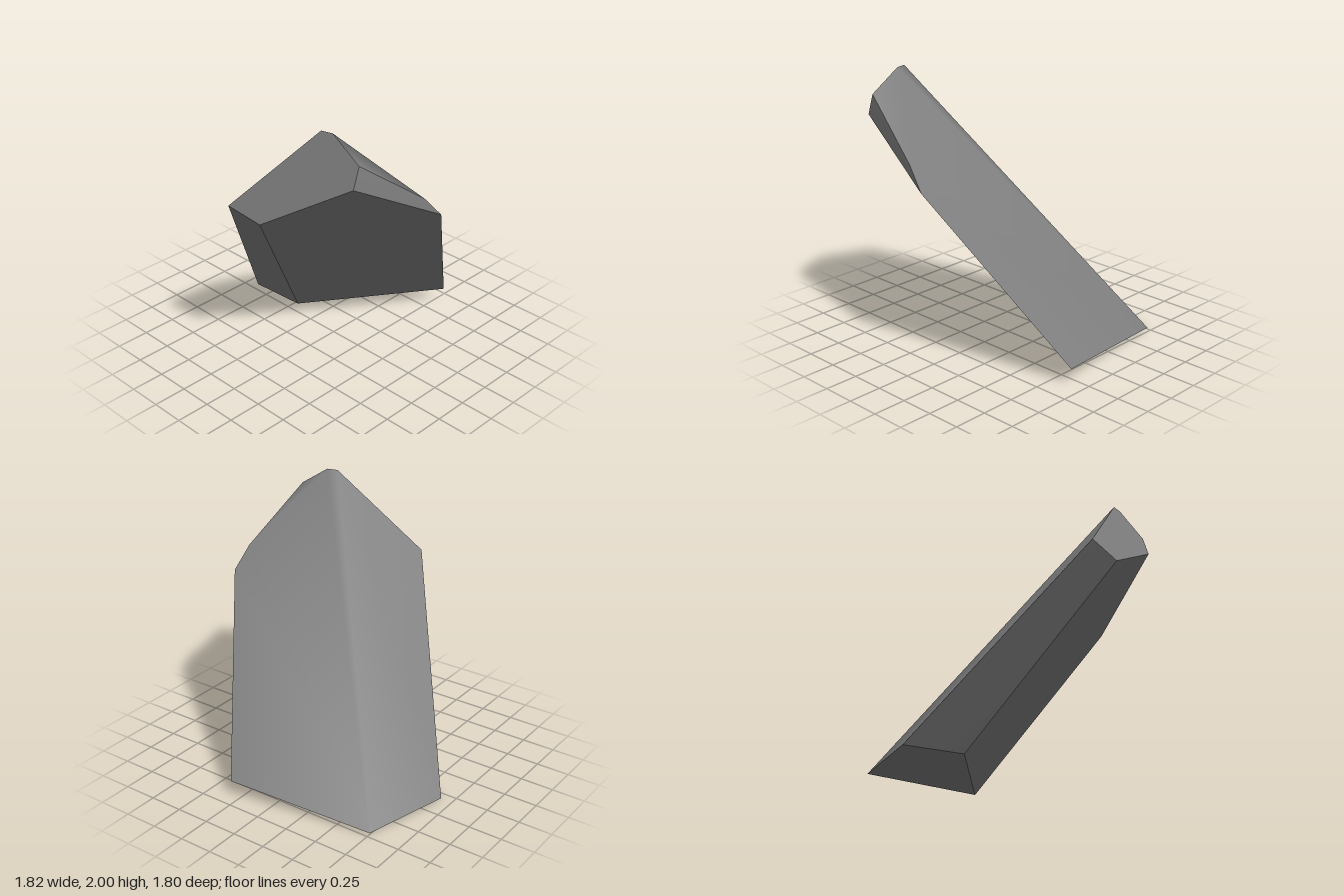
import * as THREE from 'three';

// Corners of the leaning crystal shard
const P = {
  // base
  a: [-0.91, 0, -0.06], b: [-0.43, 0.04, -0.04], c: [0.32, 0.12, -0.9], d: [-0.75, 0.01, -0.72],
  // shoulder
  e: [-0.09, 1.39, 0.9], f: [0.17, 1.33, 0.86], g: [0.76, 1.7, 0.6], h: [0.91, 1.32, -0.09],
  // tip
  i: [0.76, 1.85, 0.55], j: [0.45, 2, 0.57], k: [0.53, 2, 0.55], l: [0.88, 1.48, 0.05],
};

// Builds a surface from outlines of flat facets; corners shared inside one surface are shaded smoothly
function facets(name, outlines, material) {
  const keys = [...new Set(outlines.join(''))];
  const index = [];
  for (const o of outlines) {
    for (let n = 1; n < o.length - 1; n++) {
      index.push(keys.indexOf(o[0]), keys.indexOf(o[n]), keys.indexOf(o[n + 1]));
    }
  }
  const geometry = new THREE.BufferGeometry();
  geometry.setAttribute('position', new THREE.Float32BufferAttribute(keys.flatMap((k) => P[k]), 3));
  geometry.setIndex(index);
  geometry.computeVertexNormals();
  const mesh = new THREE.Mesh(geometry, material);
  mesh.name = name;
  return mesh;
}

export function createModel() {
  const stone = new THREE.MeshStandardMaterial({ color: 0x808080 });
  stone.name = 'grey stone';

  const crystal = new THREE.Group();
  crystal.name = 'crystalShard';
  crystal.add(
    // softly shaded back: two long sides and a small chamfer by the tip
    facets('back', ['aejd', 'djklhc', 'lki'], stone),
    // sharp flat facets
    facets('tipFront', ['jefgik'], stone),
    facets('tipSide', ['ghli'], stone),
    facets('leftSide', ['bchgf'], stone),
    facets('frontSide', ['abfe'], stone),
    facets('base', ['adcb'], stone),
  );
  return crystal;
}
